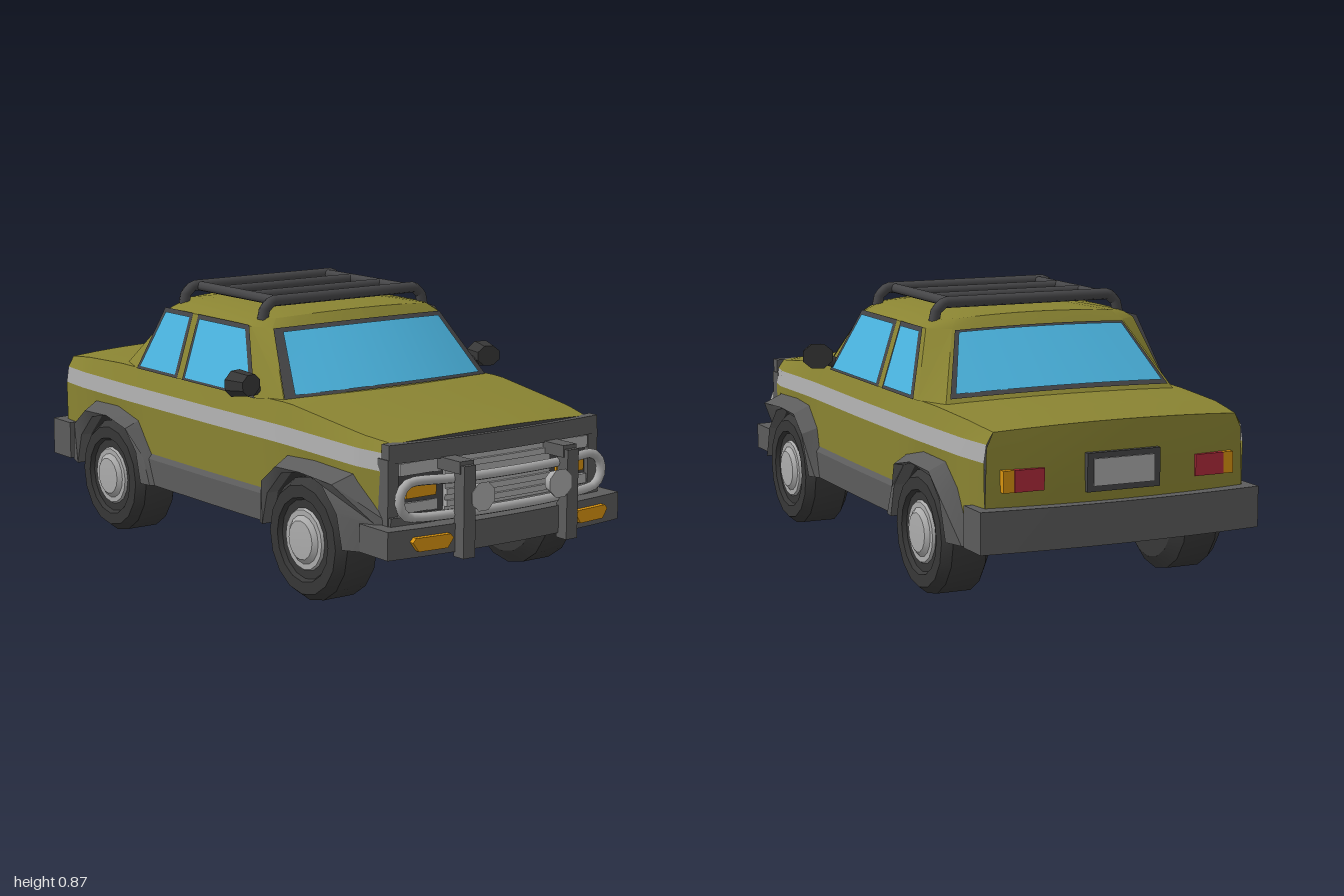
import * as THREE from 'three';
import { toCreasedNormals } from 'three/addons/utils/BufferGeometryUtils.js';

const paint = (name, color, side = THREE.DoubleSide) => {
  const m = new THREE.MeshStandardMaterial({ color, side });
  m.name = name;
  return m;
};

export function createModel() {
  const car = new THREE.Group();
  car.name = 'car';
  const olive = paint('olive paint', 0x8a8432), trim = paint('grey trim', 0x5c5c5c);
  const dark = paint('dark frame', 0x464648), black = paint('black rubber', 0x373737);
  const silver = paint('silver', 0xacacac), glass = paint('blue glass', 0x4cb7e3);
  const amber = paint('amber lamp', 0xd8930f), red = paint('red lamp', 0xb02a3a);

  const add = (name, geo, mat) => {
    const m = new THREE.Mesh(geo, mat);
    m.name = name;
    car.add(m);
    return m;
  };
  const lerp = THREE.MathUtils.lerp;
  const range = (n, f) => Array.from({ length: n + 1 }, (_, i) => f(i / n, i));
  const table = (t, z) => {
    if (z >= t[0][0]) return t[0][1];
    for (let i = 1; i < t.length; i++) {
      const [a, va] = t[i - 1], [b, vb] = t[i];
      if (z >= b) return lerp(va, vb, (z - a) / (b - a));
    }
    return t[t.length - 1][1];
  };

  // Surface through rows of points, wound to face away from the car's middle
  const grid = (name, mat, rows) => {
    const pos = [], v = (p) => new THREE.Vector3(...p);
    let out = 0;
    const tri = (a, b, c) => {
      const n = v(b).sub(v(a)).cross(v(c).sub(v(a)));
      out += n.dot(v(a).add(v(b)).add(v(c)).divideScalar(3).sub(new THREE.Vector3(0, 0.4, 0)));
      if (n.length() > 1e-9) pos.push([a, b, c]);
    };
    for (let r = 0; r + 1 < rows.length; r++)
      for (let i = 0; i + 1 < rows[r].length; i++) {
        tri(rows[r][i], rows[r][i + 1], rows[r + 1][i + 1]);
        tri(rows[r][i], rows[r + 1][i + 1], rows[r + 1][i]);
      }
    const flat = pos.flatMap(([a, b, c]) => (out < 0 ? [a, c, b] : [a, b, c])).flat();
    const g = new THREE.BufferGeometry();
    g.setAttribute('position', new THREE.Float32BufferAttribute(flat, 3));
    return add(name, toCreasedNormals(g, 0.5), mat);
  };
  const flipX = (rows) => rows.map((r) => r.map(([x, y, z]) => [-x, y, z]));
  const pair = (name, mat, rows) => {
    grid(name + 'Left', mat, rows);
    grid(name + 'Right', mat, flipX(rows));
  };

  // Box from limits, optionally bowed along z across the car
  const bend = (g, bow) => {
    const p = g.attributes.position;
    for (let i = 0; i < p.count; i++) p.setZ(i, p.getZ(i) + bow * (1 - (p.getX(i) / 0.45) ** 2));
    return toCreasedNormals(g, 0.5);
  };
  const box = (name, mat, [x0, x1], [y0, y1], [z0, z1], bow = 0) => {
    const g = new THREE.BoxGeometry(x1 - x0, y1 - y0, z1 - z0, bow ? 8 : 1, 1, 1);
    g.translate((x0 + x1) / 2, (y0 + y1) / 2, (z0 + z1) / 2);
    return add(name, bow ? bend(g, bow) : g, mat);
  };
  const boxes = (name, mat, [x0, x1], ...rest) => {
    box(name + 'Left', mat, [x0, x1], ...rest);
    box(name + 'Right', mat, [-x1, -x0], ...rest);
  };

  // Body outline along the length
  const W = (z) => table([[0.86, 0.4], [0.75, 0.425], [0.4, 0.442], [0, 0.448], [-0.5, 0.448], [-0.8, 0.44], [-0.93, 0.425]], z);
  const belt = (z) => table([[0.86, 0.522], [0.4, 0.578], [-0.58, 0.57], [-0.8, 0.56], [-0.93, 0.545]], z);
  const axles = [0.55, -0.57];
  const archY = (z) => Math.max(0.2, ...axles.map((c) => 0.2 + Math.sqrt(Math.max(0, 0.048 - (z - c) ** 2))));
  const arcZ = (c) => range(10, (t) => c + 0.219 * Math.cos(Math.PI * t));
  const stations = [0.86, 0.82, ...arcZ(0.55), 0.2, 0, -0.2, ...arcZ(-0.57), -0.86, -0.93];
  const stripeDrop = (z) => 0.015 * Math.max(0, (z - 0.4) / 0.46);
  const line = (x, y) => stations.map((z) => [W(z) + x, y(z), z]);
  const low = (z) => 0.457 - stripeDrop(z), high = (z) => 0.51 - stripeDrop(z);
  pair('bodySide', olive, [line(0, archY), line(0.004, low)]);
  pair('sideStripe', silver, [line(0.004, low), line(-0.004, high)]);
  pair('shoulder', olive, [line(-0.004, high), line(-0.025, belt)]);
  const us = range(8, (t) => t * 2 - 1);
  const endBow = (z) => table([[0.86, 0.03], [0.7, 0], [-0.75, 0], [-0.93, -0.025]], z);
  grid('bonnetAndBoot', olive, stations.map((z) => us.map((u) =>
    [u * (W(z) - 0.025), belt(z) + 0.014 * (1 - u * u), z + endBow(z) * (1 - u * u)])));
  const endFace = (z, ys) => ys.map(([y, inset, top, dz]) => us.map((u) =>
    [u * (W(z) - inset), y + top * (1 - u * u), z + (endBow(z) + dz) * (1 - u * u)]));
  grid('rearPanel', olive, endFace(-0.93, [[0.545, 0.025, 0.014, 0], [0.5, 0.004, 0, -0.005], [0.35, 0, 0, -0.012], [0.2, 0, 0, 0]]));
  grid('nosePanel', dark, endFace(0.86, [[0.522, 0.025, 0.014, 0], [0.49, 0.004, 0, 0], [0.2, 0, 0, 0]]));

  // Underside, narrowed between the wheels
  grid('underside', black, stations.map((z) => {
    const w = archY(z) > 0.21 ? 0.3 : W(z);
    return [[-w, 0.2, z], [w, 0.2, z]];
  }));

  // Sills, flared arches and wheel wells
  const sillZ = [0.34, 0, -0.36];
  pair('sill', trim, [[0.012, 0.2], [0.012, 0.285], [0, 0.303]].map(([x, y]) => sillZ.map((z) => [W(z) + x, y, z])));
  const flares = [
    [[0.86, 0.2], [0.86, 0.3], [0.74, 0.42], [0.56, 0.43], [0.43, 0.425], [0.35, 0.36], [0.3, 0.2]],
    [[-0.3, 0.2], [-0.34, 0.3], [-0.42, 0.4], [-0.55, 0.43], [-0.7, 0.425], [-0.78, 0.36], [-0.86, 0.2]]];
  axles.forEach((c, k) => {
    const outer = flares[k];
    const arc = (x, r) => range(6, (t) => [x, 0.2 + r * Math.sin(Math.PI * t), c + r * Math.cos(Math.PI * t)]);
    pair(k ? 'rearArch' : 'frontArch', trim, [
      outer.map(([z, y]) => [W(z) + 0.003, y, z]),
      outer.map(([z, y]) => [y > 0.32 ? 0.497 : W(z) + 0.025, lerp(0.2, y, 0.88), lerp(c, z, 0.93)]),
      arc(0.48, 0.205), arc(0.44, 0.205)]);
    pair(k ? 'rearWheelWell' : 'frontWheelWell', black, [arc(0.44, 0.205), arc(0.3, 0.205), arc(0.3, 0)]);
  });

  // Wheels
  const lathe = (pts) => toCreasedNormals(
    new THREE.LatheGeometry(pts.map(([r, h]) => new THREE.Vector2(r, h)), 16).rotateZ(-Math.PI / 2), 0.5);
  const tyre = lathe([[0, -0.083], [0.15, -0.083], [0.19, -0.055], [0.19, 0.055], [0.168, 0.083], [0.13, 0.083], [0.122, 0.07], [0, 0.07]]);
  const hub = lathe([[0.098, 0.068], [0.092, 0.078], [0.075, 0.078], [0.06, 0.09], [0, 0.093]]);
  for (const z of axles)
    for (const s of [1, -1])
      for (const [name, g, m] of [['tyre', tyre, black], ['hub', hub, silver]]) {
        const w = add(name, g, m);
        w.position.set(s * 0.393, 0.19, z);
        w.rotation.y = s > 0 ? 0 : Math.PI;
      }

  // Cabin: curved windscreen and rear surfaces, t runs from belt to roof
  const front = (u, t, o = 0) => [u * lerp(0.4, 0.33, t), lerp(0.588 - 0.013 * u * u, 0.785 - 0.01 * u * u, t) + o,
    lerp(0.42 - 0.07 * u * u, 0.235 - 0.045 * u * u, t) + o];
  const back = (u, t, o = 0) => [u * lerp(0.39, 0.295, t), lerp(0.578 - 0.01 * u * u, 0.782 - 0.007 * u * u, t) + o,
    lerp(-0.605 + 0.025 * u * u, -0.425 + 0.01 * u * u, t) - o];
  const quarter = [0, 0.25, 0.5, 0.75, 1];
  const ring = (t) => [...quarter.map((u) => front(u, t)),
    [lerp(0.432, 0.366, t), lerp(0.572, 0.775, t), lerp(0.25, 0.125, t)],
    [lerp(0.435, 0.37, t), lerp(0.572, 0.778, t), -0.18],
    [lerp(0.43, 0.36, t), lerp(0.57, 0.775, t), lerp(-0.46, -0.365, t)],
    ...quarter.map((u) => back(1 - u, t))];
  const inward = (k, y) => ring(1).map(([x, , z]) => [x * k, y - 0.02 * k * k * (x / 0.37) ** 2, (z + 0.09) * k - 0.09]);
  pair('cabin', olive, [ring(0), ring(1), inward(0.91, 0.813), inward(0.55, 0.826), inward(0, 0.83)]);

  const curvedPane = (name, mat, f, k, t0, t1, o) => grid(name, mat, [t0, t1].map((t) => us.map((u) => f(u * k, t, o))));
  curvedPane('windscreenFrame', dark, front, 1, 0.01, 0.98, 0.003);
  curvedPane('windscreen', glass, front, 0.92, 0.04, 0.91, 0.006);
  curvedPane('rearWindowFrame', dark, back, 0.97, 0.07, 0.97, 0.003);
  curvedPane('rearWindow', glass, back, 0.93, 0.12, 0.93, 0.006);

  // Side windows: front and rear edges at the bottom and the top
  const sidePane = (name, mat, o, y0, y1, bottom, top) => pair(name, mat,
    [[y0, bottom], [y1, top]].map(([y, zs]) => zs.map((z) => [lerp(0.436, 0.371, (y - 0.572) / 0.205) + o, y, z])));
  sidePane('frontDoorFrame', dark, 0.002, 0.572, 0.78, [0.245, -0.168], [0.122, -0.168]);
  sidePane('frontDoorWindow', glass, 0.005, 0.58, 0.767, [0.222, -0.153], [0.11, -0.153]);
  sidePane('rearDoorFrame', dark, 0.002, 0.572, 0.78, [-0.198, -0.445], [-0.198, -0.367]);
  sidePane('rearDoorWindow', glass, 0.005, 0.582, 0.767, [-0.211, -0.426], [-0.211, -0.354]);

  // Roof rack
  const tube = (name, mat, pts, r, closed = false) => {
    const path = new THREE.CurvePath(), v = pts.map((p) => new THREE.Vector3(...p));
    if (closed) v.push(v[0].clone());
    for (let i = 1; i < v.length; i++) path.add(new THREE.LineCurve3(v[i - 1], v[i]));
    return add(name, new THREE.TubeGeometry(path, pts.length > 2 ? 64 : 1, r, 8, closed), mat);
  };
  for (const z of [-0.335, 0.12])
    tube('rackHoop', dark, [[-0.32, 0.79, z], [-0.312, 0.825, z], [-0.285, 0.848, z], [0.285, 0.848, z], [0.312, 0.825, z], [0.32, 0.79, z]], 0.018);
  for (const z of [-0.19, -0.03]) tube('rackBar', dark, [[-0.26, 0.846, z], [0.26, 0.846, z]], 0.016);
  for (const x of [-0.26, 0.26]) tube('rackRail', dark, [[x, 0.846, -0.335], [x, 0.846, 0.12]], 0.016);

  // Door mirrors
  for (const s of [1, -1]) {
    const shell = new THREE.CylinderGeometry(0.045, 0.056, 0.065, 8, 1).rotateY(Math.PI / 8).rotateX(Math.PI / 2);
    const m = add('mirror', toCreasedNormals(shell, 0.5), black);
    m.scale.set(0.95, 0.78, 1);
    m.position.set(s * 0.482, 0.622, 0.25);
    m.rotation.y = -s * 0.25;
    tube('mirrorArm', black, [[s * 0.41, 0.59, 0.23], [s * 0.46, 0.61, 0.245]], 0.018);
  }

  // Grille and headlamps
  box('grilleTop', trim, [-0.405, 0.405], [0.468, 0.524], [0.84, 0.875], 0.03);
  box('grilleBottom', trim, [-0.405, 0.405], [0.27, 0.31], [0.84, 0.885], 0.03);
  boxes('grilleEnd', trim, [0.37, 0.408], [0.28, 0.48], [0.83, 0.88]);
  box('grillePanel', silver, [-0.205, 0.205], [0.31, 0.468], [0.85, 0.867], 0.03);
  for (const y of [0.33, 0.365, 0.4, 0.443]) box('grilleSlat', silver, [-0.205, 0.205], [y - 0.009, y + 0.009], [0.855, 0.877], 0.03);
  boxes('headlampStrip', silver, [0.215, 0.365], [0.428, 0.465], [0.85, 0.882]);
  boxes('headlampBase', silver, [0.215, 0.365], [0.315, 0.345], [0.85, 0.88]);
  boxes('headlamp', amber, [0.235, 0.345], [0.36, 0.397], [0.85, 0.888]);

  // Front bumper with fog lamps
  box('frontBumper', trim, [-0.45, 0.45], [0.2, 0.285], [0.8, 0.935], 0.035);
  const c = new THREE.Shape([[-0.07, 0.008], [-0.05, -0.02], [0.05, -0.02], [0.07, 0.008], [0.06, 0.021], [-0.06, 0.021]].map((p) => new THREE.Vector2(...p)));
  for (const s of [1, -1]) {
    const fog = add('fogLamp', new THREE.ExtrudeGeometry(c, { depth: 0.04, bevelEnabled: false }), amber);
    fog.position.set(s * 0.305, 0.24, 0.93);
    fog.rotation.y = s * 0.1;
  }

  // Bull bar with spot lamps
  const loop = [];
  for (const s of [1, -1]) {
    for (const a of range(6, (t) => Math.PI * (0.5 - t)))
      loop.push([s * (0.345 + 0.048 * Math.cos(a)), 0.363 + s * 0.053 * Math.sin(a), 0.915]);
    for (const x of [0.2, 0, -0.2]) loop.push([s * x, 0.363 - s * 0.053, 0.96 - 0.3 * x * x]);
  }
  const bar = new THREE.CatmullRomCurve3(loop.map((p) => new THREE.Vector3(...p)), true, 'centripetal');
  add('bullBar', new THREE.TubeGeometry(bar, 72, 0.015, 8, true), silver);
  boxes('bullBarPost', trim, [0.178, 0.222], [0.185, 0.46], [0.955, 1]);
  boxes('bullBarBracket', trim, [0.174, 0.226], [0.435, 0.472], [0.86, 0.985]);
  for (const x of [0.15, -0.15]) {
    const lamp = add('spotLamp', new THREE.CylinderGeometry(0.046, 0.034, 0.035, 8).rotateY(Math.PI / 8).rotateX(Math.PI / 2), silver);
    lamp.position.set(x, 0.363, 0.985);
  }

  // Rear bumper, lamps and plate
  box('rearBumper', trim, [-0.46, 0.46], [0.2, 0.325], [-0.975, -0.86], -0.025);
  boxes('tailLamp', red, [0.25, 0.345], [0.37, 0.435], [-0.96, -0.92]);
  boxes('tailIndicator', amber, [0.345, 0.38], [0.37, 0.435], [-0.957, -0.92]);
  box('plateFrame', dark, [-0.12, 0.12], [0.355, 0.47], [-0.977, -0.94]);
  box('plate', silver, [-0.1, 0.1], [0.372, 0.453], [-0.981, -0.95]);
  return car;
}
